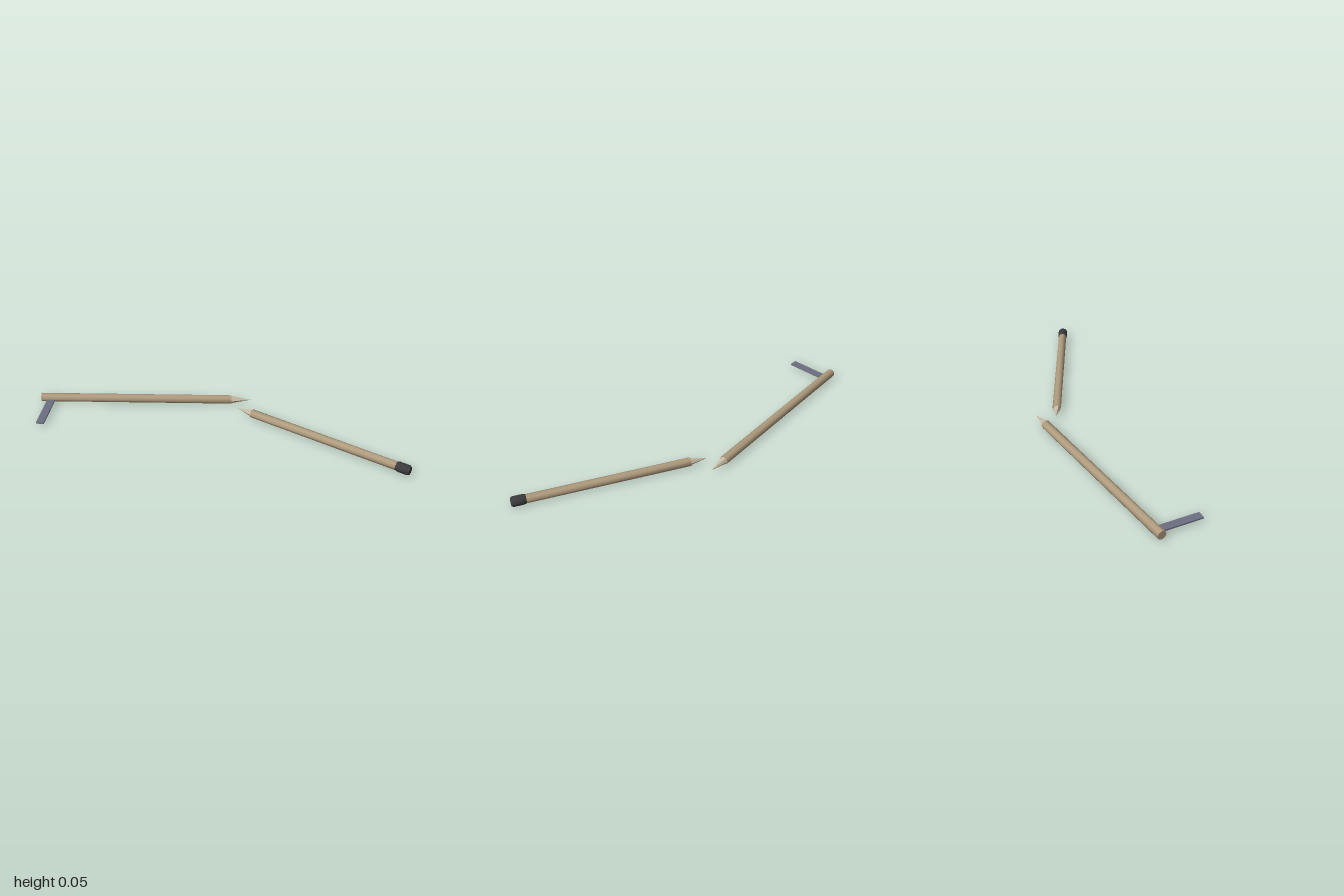
import * as THREE from 'three';
import { toCreasedNormals } from 'three/addons/utils/BufferGeometryUtils.js';

const material = (color) => new THREE.MeshStandardMaterial({ color });
const wood = material(0xb09c7e);
const paleWood = material(0xc9bda6);
const rubber = material(0x3c3c3e);
const steel = material(0x6e7082);

// Turned part: profile of [radius, distance along the shaft] pairs, laid along +x
function turned(name, profile, sides, mat) {
  const points = profile.map(([r, d]) => new THREE.Vector2(r, d));
  const geometry = toCreasedNormals(new THREE.LatheGeometry(points, sides), 0.9);
  geometry.rotateZ(-Math.PI / 2);
  // the profile runs along +x after the turn
  const mesh = new THREE.Mesh(geometry, mat);
  mesh.name = name;
  return mesh;
}

// Shaft of a given length with a splintered point at its far end
function brokenShaft(name, length, radius, pointLength) {
  const group = new THREE.Group();
  group.name = name;
  group.add(
    turned(name + 'Rod', [[0, 0], [radius, 0], [radius, length], [0, length]], 8, wood),
    turned(name + 'Point', [[radius * 0.85, length], [0, length + pointLength]], 6, paleWood),
  );
  return group;
}

// Place a group at (x, z) and aim its +x axis at (toX, toZ)
function aim(group, y, [x, z], [toX, toZ]) {
  group.position.set(x, y, z);
  group.rotation.y = -Math.atan2(toZ - z, toX - x);
}

export function createModel() {
  const model = new THREE.Group();
  model.name = 'brokenStaff';

  // Long half, carrying the blade
  const longHalf = brokenShaft('longHalf', 1.048, 0.0235, 0.105);
  aim(longHalf, 0.031, [-0.998, -0.168], [0.15, -0.277]);
  model.add(longHalf);

  // Flat blade sticking out sideways near the end
  const blade = new THREE.Mesh(new THREE.BoxGeometry(0.042, 0.008, 0.237), steel);
  blade.name = 'blade';
  blade.position.set(-0.944, 0.021, -0.0515);
  model.add(blade);

  // Short half, with a capped butt
  const shortHalf = brokenShaft('shortHalf', 0.91, 0.0225, 0.09);
  aim(shortHalf, 0.029, [0.983, 0.257], [0.09, -0.188]);
  shortHalf.add(turned('buttCap', [
    [0, -0.004], [0.021, -0.004], [0.0265, 0.006], [0.0265, 0.058], [0.0225, 0.07], [0, 0.07],
  ], 12, rubber));
  model.add(shortHalf);

  return model;
}
